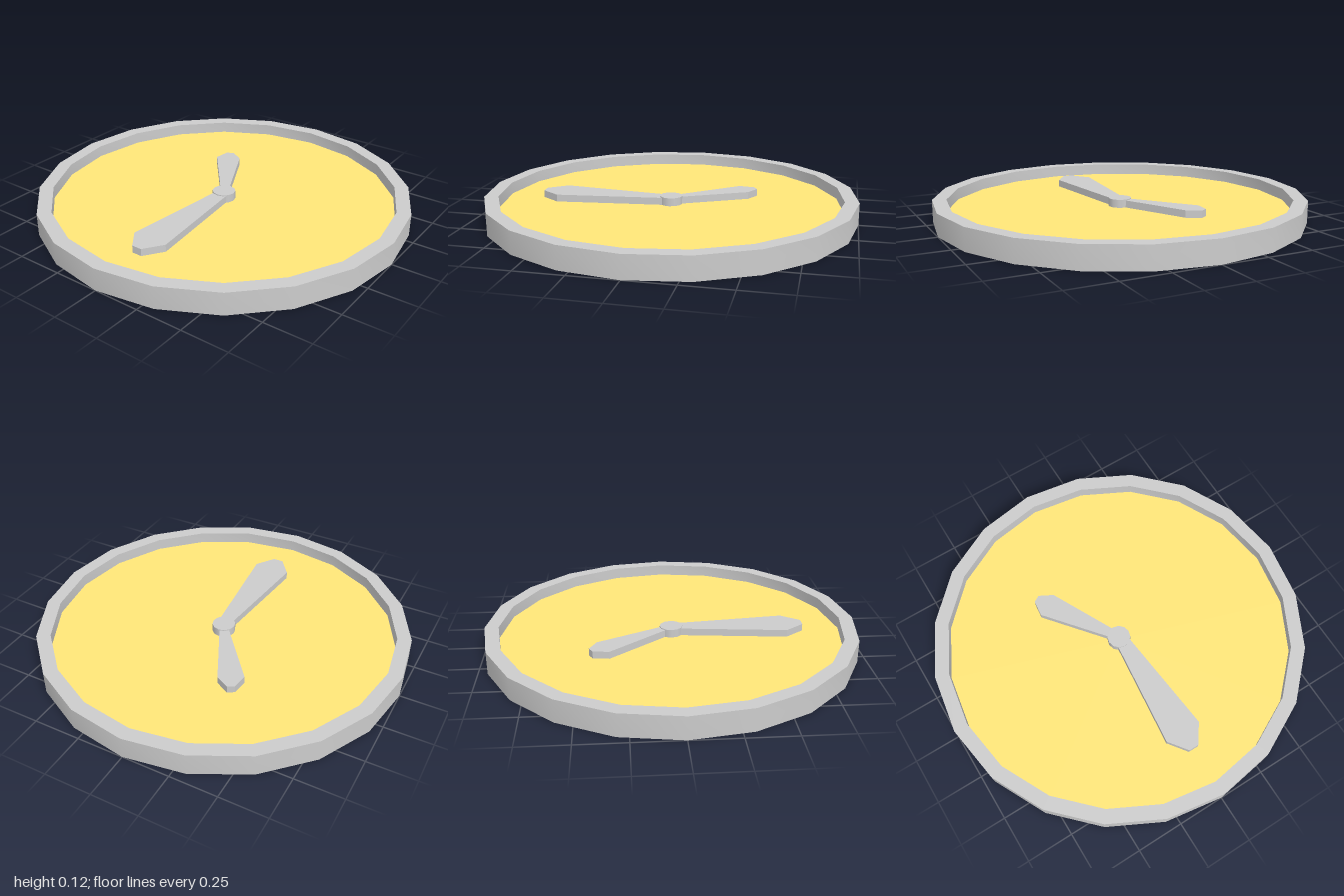
import * as THREE from 'three';
import { toCreasedNormals } from 'three/addons/utils/BufferGeometryUtils.js';

const SIDES = 20, HEIGHT = 0.12, FACE_Y = 0.057, INNER = 0.925;

export function createModel() {
  const group = new THREE.Group();
  const grey = new THREE.MeshStandardMaterial({ color: 0xcccccc });
  const yellow = new THREE.MeshStandardMaterial({ color: 0xffe678 });

  const add = (name, geometry, material = grey) => {
    const mesh = new THREE.Mesh(geometry, material);
    mesh.name = name;
    group.add(mesh);
    return mesh;
  };

  // Case: closed bottom, outer wall, flat rim and inner wall
  const profile = [[0, 0], [1, 0], [1, HEIGHT], [INNER, HEIGHT], [INNER, FACE_Y]]
    .map(([r, y]) => new THREE.Vector2(r, y));
  add('case', toCreasedNormals(new THREE.LatheGeometry(profile, SIDES), Math.PI / 6));

  // Recessed dial
  const dial = new THREE.CircleGeometry(INNER, SIDES).rotateX(-Math.PI / 2);
  add('dial', dial, yellow).position.y = FACE_Y;

  // Flat hand from an outline of [x, z] points, lying on the dial
  const addHand = (name, outline) => {
    const shape = new THREE.Shape(outline.map(([x, z]) => new THREE.Vector2(x, -z)));
    const geometry = new THREE.ExtrudeGeometry(shape, { depth: 0.039, bevelEnabled: false });
    add(name, geometry.rotateX(-Math.PI / 2)).position.y = FACE_Y;
  };
  addHand('minuteHand', [
    [-0.03, 0], [-0.035, 0.06], [-0.095, 0.62], [-0.02, 0.72],
    [0.035, 0.72], [0.105, 0.62], [0.045, 0.06], [0.04, 0],
  ]);
  addHand('hourHand', [
    [0.025, 0], [-0.005, -0.06], [-0.176, -0.4], [-0.25, -0.44],
    [-0.285, -0.42], [-0.295, -0.335], [-0.05, -0.035], [-0.02, 0],
  ]);

  // Hub over the hand pivots
  add('hub', new THREE.CylinderGeometry(0.062, 0.062, 0.044, 12)).position.y = FACE_Y + 0.022;

  return group;
}
